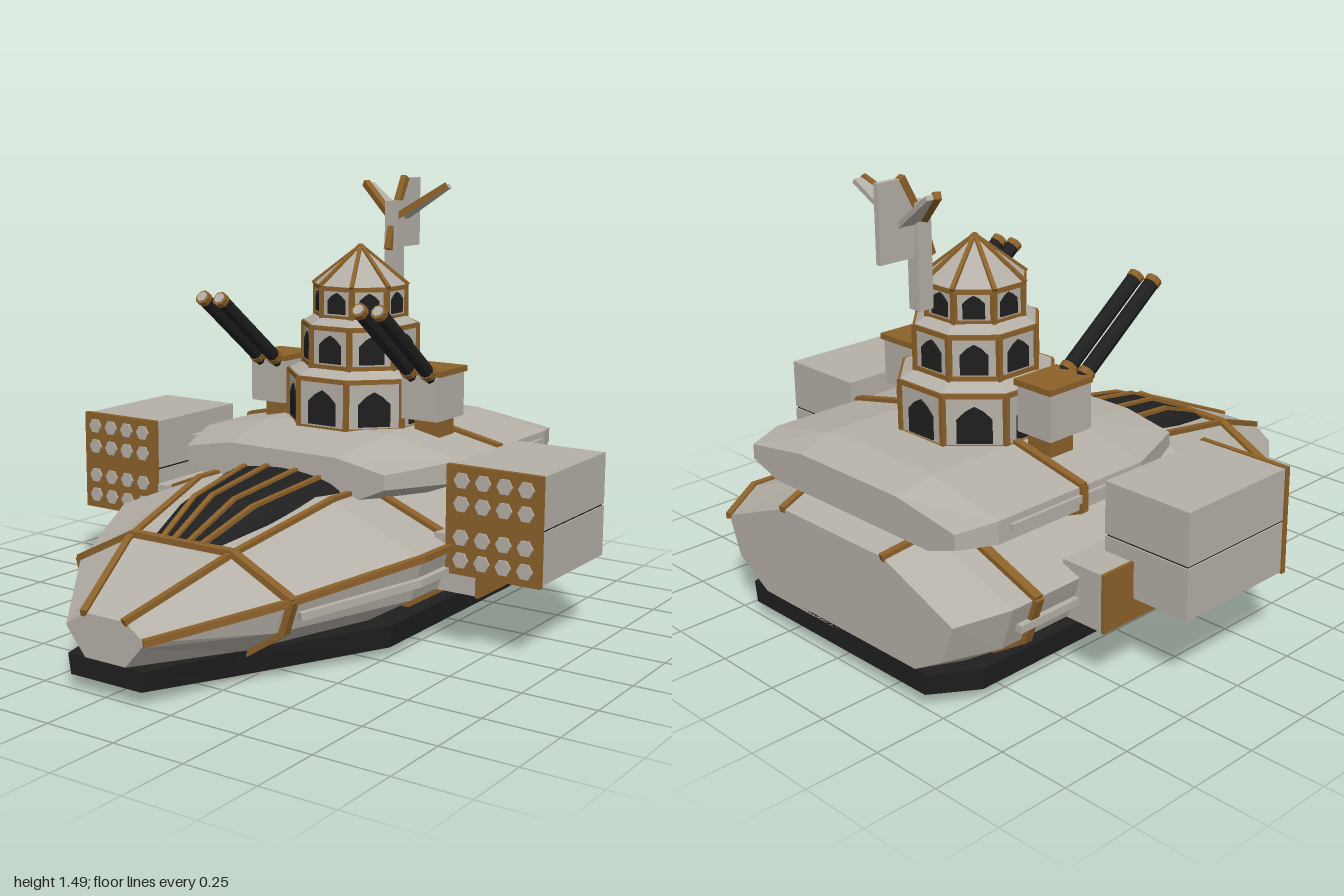
import * as THREE from 'three';

const mat = (name, color) => Object.assign(new THREE.MeshStandardMaterial({ color, flatShading: true }), { name });
const V = (x, y, z) => new THREE.Vector3(x, y, z);

// half section [x, y] from bottom to top, mirrored into a closed ring
const ring = (half) => [...half, ...half.slice().reverse().map(([x, y]) => [-x, y])];

// skin over rings ordered from front (+z) to back, with both ends closed
function loft(sections) {
  const p = [];
  const tri = (...pts) => pts.forEach((q) => p.push(...q));
  const rings = sections.map(([z, pts]) => pts.map(([x, y]) => [x, y, z]));
  const n = rings[0].length, last = rings[rings.length - 1];
  for (let i = 0; i < rings.length - 1; i++) {
    for (let j = 0; j < n; j++) {
      const k = (j + 1) % n, a = rings[i], b = rings[i + 1];
      tri(a[j], b[j], a[k]);
      tri(a[k], b[j], b[k]);
    }
  }
  for (let j = 1; j < n - 1; j++) {
    tri(rings[0][0], rings[0][j], rings[0][j + 1]);
    tri(last[0], last[j + 1], last[j]);
  }
  const g = new THREE.BufferGeometry();
  g.setAttribute('position', new THREE.Float32BufferAttribute(p, 3));
  g.computeVertexNormals();
  return g;
}

// half section interpolated at a given z
function halfAt(sections, z) {
  let i = 0;
  while (i < sections.length - 2 && sections[i + 1][0] > z) i++;
  const [z0, a] = sections[i], [z1, b] = sections[i + 1], t = (z0 - z) / (z0 - z1);
  return a.map(([x, y], j) => [x + (b[j][0] - x) * t, y + (b[j][1] - y) * t]);
}

export function createModel() {
  const model = new THREE.Group();
  model.name = 'armouredShip';
  const grey = mat('paleGrey', 0xb5b0a7), gold = mat('bronze', 0x8c612a), dark = mat('nearBlack', 0x1f1f1f);

  const add = (name, geo, m, x = 0, y = 0, z = 0) => {
    const mesh = new THREE.Mesh(geo, m);
    mesh.name = name;
    mesh.position.set(x, y, z);
    model.add(mesh);
    return mesh;
  };
  const box = (name, m, w, h, d, x, y, z) => add(name, new THREE.BoxGeometry(w, h, d), m, x, y, z);
  const bar = (name, m, a, b, w = 0.022, h = w) => {
    const mid = a.clone().add(b).multiplyScalar(0.5);
    const mesh = box(name, m, w, h, a.distanceTo(b) + w * 0.4, mid.x, mid.y, mid.z);
    mesh.lookAt(b);
    return mesh;
  };
  const chain = (name, m, pts, w, h) => pts.slice(1).forEach((p, i) => bar(name, m, pts[i], p, w, h));

  // hull: each section is bottom, lower chine, widest edge, top edge
  const hull = [
    [1, [[0.08, 0.115], [0.14, 0.185], [0.155, 0.205], [0.08, 0.255]]],
    [0.66, [[0.25, 0.1], [0.38, 0.185], [0.41, 0.28], [0.195, 0.39]]],
    [0.2, [[0.4, 0.1], [0.575, 0.205], [0.62, 0.35], [0.275, 0.49]]],
    [-0.84, [[0.42, 0.1], [0.585, 0.205], [0.635, 0.35], [0.28, 0.48]]],
    [-1, [[0.36, 0.11], [0.5, 0.19], [0.55, 0.32], [0.245, 0.44]]],
  ];
  const skin = (s) => loft(s.map(([z, h]) => [z, ring(h)]));
  add('hull', skin(hull), grey);

  // dark keel and bottom plate
  add('keel', skin([
    [1, [[0.14, 0.05], [0.15, 0.115]]],
    [0.68, [[0.23, 0.022], [0.25, 0.105]]],
    [0.2, [[0.5, 0.035], [0.51, 0.11]]],
    [-0.84, [[0.5, 0.035], [0.51, 0.11]]],
    [-1, [[0.42, 0.05], [0.43, 0.12]]],
  ]), dark);
  add('bottomPlate', skin([
    [0.69, [[0.2, 0.005], [0.2, 0.03]]],
    [0.2, [[0.43, 0.012], [0.43, 0.05]]],
    [-0.84, [[0.43, 0.02], [0.43, 0.05]]],
  ]), grey);

  // upper deck
  const deck = [
    [0.1, [[0.3, 0.47], [0.41, 0.52], [0.41, 0.57], [0.22, 0.605]]],
    [-0.18, [[0.41, 0.46], [0.535, 0.51], [0.535, 0.585], [0.25, 0.645]]],
    [-0.8, [[0.41, 0.46], [0.535, 0.51], [0.535, 0.585], [0.25, 0.645]]],
    [-0.93, [[0.37, 0.48], [0.49, 0.52], [0.49, 0.57], [0.23, 0.61]]],
  ];
  add('upperDeck', skin(deck), grey);

  // bands around hull and deck, edge strips and side rails
  for (const z of [0.635, -0.01, -0.745]) {
    const pts = ring(halfAt(hull, z)).map(([x, y]) => V(x, y, z));
    chain('hullBand', gold, pts, 0.032, 0.032);
  }
  chain('starboardEdgeStrip', gold, hull.map(([z, h]) => V(h[2][0], h[2][1], z)));
  for (const s of [-1, 1]) {
    chain('topEdgeStrip', gold, hull.map(([z, h]) => V(s * h[3][0], h[3][1], z)));
    chain('deckBand', gold, halfAt(deck, -0.45).map(([x, y]) => V(s * x, y, -0.45)), 0.026);
    chain('hullRail', grey, [0.6, 0.2, -0.8].map((z) => {
      const h = halfAt(hull, z);
      return V(s * ((h[1][0] + h[2][0]) / 2 + 0.01), h[1][1] * 0.55 + h[2][1] * 0.45, z);
    }), 0.025);
    bar('deckRail', grey, V(s * 0.535, 0.55, -0.1), V(s * 0.535, 0.55, -0.75), 0.025);
  }

  // ribbed dark canopy
  const canopy = [[0.645, 0.12, 0.39, 0.012], [0.42, 0.19, 0.43, 0.075], [0.09, 0.25, 0.475, 0.07]];
  const arc = ([, w, y, h], t) => [w * Math.cos(t), y + h * Math.sin(t)];
  add('canopy', loft(canopy.map((c) => [c[0], Array.from({ length: 11 }, (_, i) => arc(c, Math.PI * i / 10))])), dark);
  for (const t of [0.9, 1.33, 1.81, 2.24]) {
    chain('canopyRib', gold, canopy.map((c) => V(...arc(c, t), c[0])), 0.018);
  }

  // eight-sided tower
  const TZ = -0.385, K = 1 / Math.cos(Math.PI / 8);
  const octagon = (name, m, r0, r1, y0, y1) => {
    const g = new THREE.CylinderGeometry(r1 * K, r0 * K, y1 - y0, 8).rotateY(Math.PI / 8);
    return add(name, g, m, 0, (y0 + y1) / 2, TZ);
  };
  const corner = (r, y, i) => {
    const a = Math.PI / 8 + i * Math.PI / 4;
    return V(Math.sin(a) * r * K, y, TZ + Math.cos(a) * r * K);
  };
  const tiers = [[0.24, 0.63, 0.81, 0.195], [0.19, 0.84, 0.985, 0.155], [0.15, 1.01, 1.12, 0.15]];
  for (const [r, y0, y1, next] of tiers) {
    octagon('towerTier', grey, r, r, y0, y1);
    octagon('tierBaseTrim', gold, r + 0.006, r + 0.006, y0, y0 + 0.016);
    octagon('tierTopTrim', gold, r + 0.008, r + 0.008, y1 - 0.008, y1 + 0.008);
    if (next < r) octagon('tierLedge', grey, r, next, y1 + 0.008, y1 + 0.032);
    const w = r * 0.235, h = (y1 - y0) * 0.68;
    const arch = new THREE.Shape([[-w, 0], [w, 0], [w, h * 0.65], [w * 0.5, h * 0.87], [0, h],
      [-w * 0.5, h * 0.87], [-w, h * 0.65]].map((p) => new THREE.Vector2(...p)));
    const pane = new THREE.ExtrudeGeometry(arch, { depth: 0.006, bevelEnabled: false });
    for (let i = 0; i < 8; i++) {
      const a = i * Math.PI / 4;
      add('archedWindow', pane, dark, Math.sin(a) * r, y0 + 0.022, TZ + Math.cos(a) * r).rotation.y = a;
      bar('tierPost', gold, corner(r, y0, i), corner(r, y1, i), 0.016);
    }
  }
  octagon('towerRoof', grey, 0.158, 0.004, 1.125, 1.262);
  for (let i = 0; i < 8; i++) bar('roofRib', gold, corner(0.158, 1.128, i), V(0, 1.262, TZ), 0.014);

  // twin-gun turrets
  for (const s of [-1, 1]) {
    box('turretPedestal', gold, 0.1, 0.08, 0.1, s * 0.32, 0.65, -0.37);
    box('turretBody', grey, 0.145, 0.155, 0.18, s * 0.322, 0.762, -0.355);
    box('turretRoof', gold, 0.16, 0.02, 0.19, s * 0.322, 0.85, -0.36);
    for (const x of [0.285, 0.36]) {
      const base = V(s * x, 0.835, -0.28), tip = V(s * x, 1.1, 0.07);
      const gun = (name, m, r, t0, t1) => {
        const a = base.clone().lerp(tip, t0), b = base.clone().lerp(tip, t1);
        const g = new THREE.CylinderGeometry(r, r, a.distanceTo(b), 8).rotateX(Math.PI / 2);
        const mid = a.clone().add(b).multiplyScalar(0.5);
        add(name, g, m, mid.x, mid.y, mid.z).lookAt(b);
      };
      gun('gunBarrel', dark, 0.025, 0, 0.97);
      gun('gunCollar', gold, 0.029, 0.05, 0.1);
      gun('gunMuzzleRing', gold, 0.027, 0.94, 0.99);
      gun('gunMuzzle', grey, 0.019, 0.97, 1);
    }
  }

  // rocket pods on side brackets
  const rocket = new THREE.CylinderGeometry(0.028, 0.028, 0.02, 6).rotateY(Math.PI / 6).rotateX(Math.PI / 2);
  for (const s of [-1, 1]) {
    box('podBracket', grey, 0.16, 0.19, 0.59, s * 0.64, 0.295, -0.265);
    box('podBracketPlate', gold, 0.012, 0.195, 0.6, s * 0.725, 0.295, -0.26);
    box('podLower', grey, 0.33, 0.17, 0.46, s * 0.777, 0.355, -0.2);
    box('podSeam', dark, 0.32, 0.01, 0.45, s * 0.777, 0.443, -0.2);
    box('podUpper', grey, 0.33, 0.173, 0.46, s * 0.777, 0.534, -0.2);
    box('podFace', gold, 0.34, 0.36, 0.018, s * 0.777, 0.445, 0.031);
    for (const y of [0.315, 0.39, 0.5, 0.577]) {
      for (const x of [0.665, 0.742, 0.818, 0.894]) add('rocketTip', rocket, grey, s * x, y, 0.037);
    }
  }

  // mast with three tail fins
  box('mast', grey, 0.05, 0.34, 0.055, 0, 1.24, -0.612);
  const slab = (pts, t) => new THREE.ExtrudeGeometry(new THREE.Shape(pts.map((p) => new THREE.Vector2(...p))),
    { depth: t, bevelEnabled: false }).translate(0, 0, -t / 2).rotateY(Math.PI / 2);
  add('uprightFin', slab([[0.62, 1.24], [0.775, 1.24], [0.775, 1.49], [0.68, 1.49], [0.6, 1.37]], 0.02), grey);
  chain('uprightFinEdge', gold, [V(0, 1.24, -0.57), V(0, 1.36, -0.61), V(0, 1.49, -0.68)], 0.024);
  for (const s of [-1, 1]) {
    const fin = slab([[0.6, 0], [0.7, 0], [0.725, 0.205], [0.685, 0.205]], 0.016);
    add('sideFin', fin, grey, 0, 1.345, 0).rotation.z = -s * 0.955;
    bar('sideFinEdge', gold, V(0, 1.345, -0.6), V(s * 0.17, 1.465, -0.685), 0.024);
  }
  return model;
}
